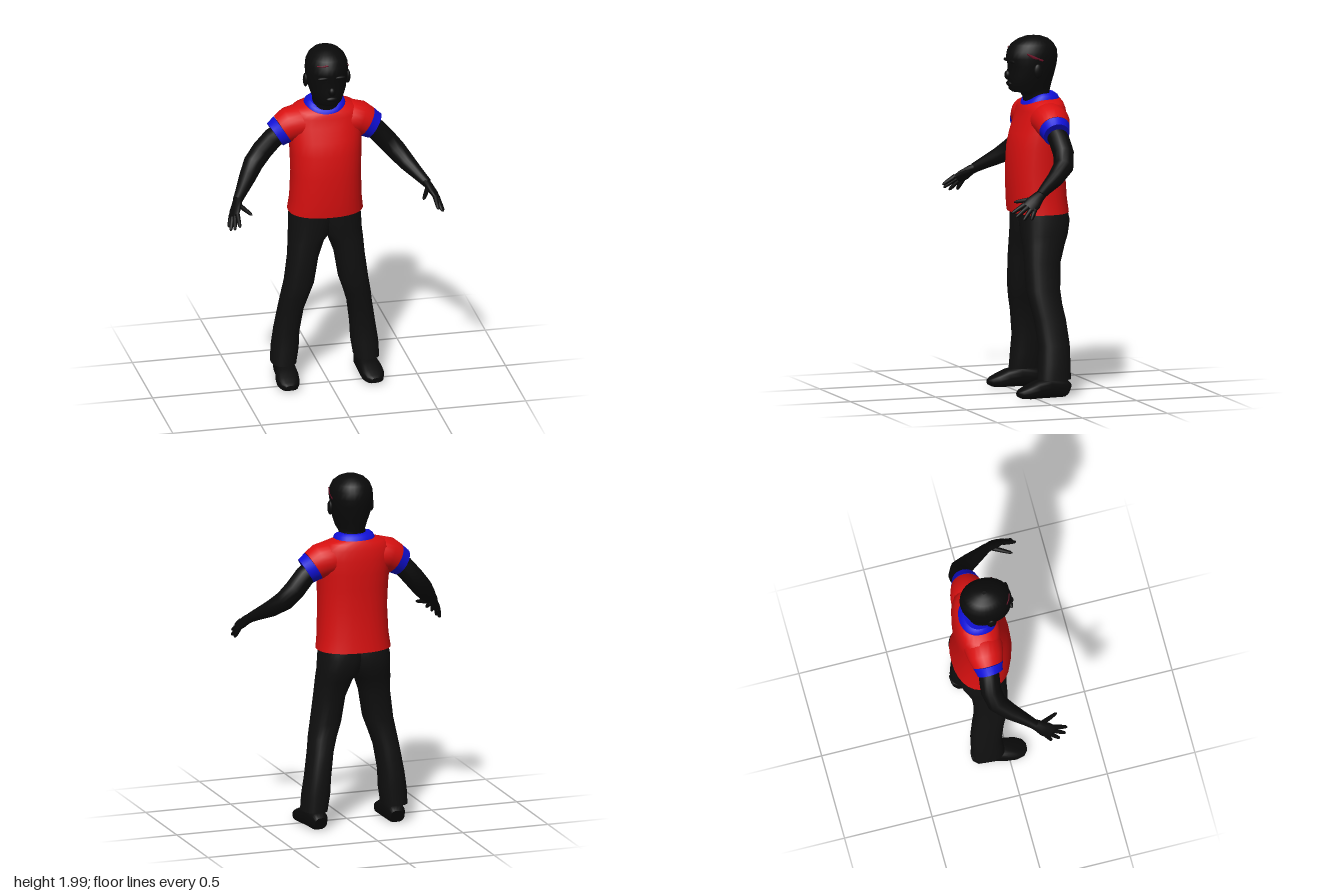
import * as THREE from 'three';

const mat = (name, color) => {
  const m = new THREE.MeshStandardMaterial({ color });
  m.name = name;
  return m;
};

// Skin over a list of closed rings, with flat caps at both ends
function skin(rings) {
  const pos = [], idx = [], n = rings[0].length;
  rings.forEach(r => r.forEach(p => pos.push(p.x, p.y, p.z)));
  for (let i = 0; i < rings.length - 1; i++) {
    for (let j = 0; j < n; j++) {
      const a = i * n + j, b = i * n + (j + 1) % n;
      idx.push(a, a + n, b, b, a + n, b + n);
    }
  }
  [rings[0], rings[rings.length - 1]].forEach((ring, end) => {
    const start = pos.length / 3;
    const mid = ring.reduce((s, p) => s.add(p), new THREE.Vector3()).divideScalar(n);
    [...ring, mid].forEach(p => pos.push(p.x, p.y, p.z));
    for (let j = 0; j < n; j++) {
      const a = start + j, b = start + (j + 1) % n;
      end ? idx.push(a, start + n, b) : idx.push(a, b, start + n);
    }
  });
  const g = new THREE.BufferGeometry();
  g.setAttribute('position', new THREE.Float32BufferAttribute(pos, 3));
  g.setIndex(idx);
  g.computeVertexNormals();
  return g;
}

// Unit rounded outline; a larger power gives squarer corners
function outline(count, power) {
  const bend = v => Math.sign(v) * Math.abs(v) ** (2 / power);
  return Array.from({ length: count }, (_, j) => {
    const t = j / count * Math.PI * 2;
    return [bend(Math.cos(t)), bend(Math.sin(t))];
  });
}

// Level rings from bottom to top: [y, x0, x1, z0, z1, frontDip]
function stack(rows, power = 2.2, count = 28) {
  return skin(rows.map(([y, x0, x1, z0, z1, dip = 0]) => outline(count, power).map(([u, v]) =>
    new THREE.Vector3((x0 + x1) / 2 + u * (x1 - x0) / 2, y - dip * Math.max(0, v) ** 2,
      (z0 + z1) / 2 + v * (z1 - z0) / 2))));
}
const centred = rows => rows.map(([y, rx, ...rest]) => [y, -rx, rx, ...rest]);

// Limb along a path of [x, y, z, radius along side, other radius]
function limb(path, side, s = 1, power = 2, count = 16) {
  const pts = path.map(p => new THREE.Vector3(p[0] * s, p[1], p[2]));
  const ref = new THREE.Vector3(side[0] * s, side[1], side[2]);
  return skin(pts.map((c, i) => {
    const dir = pts[Math.min(i + 1, pts.length - 1)].clone().sub(pts[Math.max(i - 1, 0)]).normalize();
    const a = ref.clone().addScaledVector(dir, -ref.dot(dir)).normalize();
    const b = a.clone().cross(dir);
    const [ra, rb = ra] = path[i].slice(3);
    return outline(count, power).map(([u, v]) =>
      c.clone().addScaledVector(a, u * ra).addScaledVector(b, v * rb));
  }));
}

export function createModel() {
  const model = new THREE.Group();
  const black = mat('black skin', 0x0a0a0a), cloth = mat('black trousers', 0x101010);
  const red = mat('red shirt', 0xd81010), blue = mat('blue trim', 0x1010d8);
  const crimson = mat('dark crimson', 0x660a22);
  const add = (name, geometry, material, parent = model) => {
    const m = new THREE.Mesh(geometry, material);
    m.name = name;
    parent.add(m);
    return m;
  };
  const blob = (name, pos, size, parent) => {
    const m = add(name, new THREE.SphereGeometry(1, 16, 12), black, parent);
    m.position.set(...pos);
    m.scale.set(...size);
  };

  // Head and neck
  const head = new THREE.Group();
  head.name = 'head';
  model.add(head);
  add('skullAndNeck', stack(centred([
    [1.58, 0.08, -0.17, -0.03], [1.66, 0.075, -0.165, -0.015], [1.685, 0.075, -0.165, 0.0],
    [1.692, 0.075, -0.167, 0.05], [1.705, 0.08, -0.17, 0.066], [1.74, 0.092, -0.178, 0.072],
    [1.78, 0.105, -0.19, 0.076], [1.84, 0.115, -0.205, 0.07], [1.88, 0.119, -0.21, 0.081],
    [1.92, 0.115, -0.207, 0.074], [1.955, 0.1, -0.188, 0.052], [1.98, 0.074, -0.16, 0.015],
    [1.995, 0.04, -0.122, -0.025], [2.0, 0.01, -0.085, -0.06]]), 2.05), black, head);
  blob('nose', [0, 1.785, 0.076], [0.02, 0.026, 0.018], head);
  blob('lips', [0, 1.738, 0.068], [0.032, 0.014, 0.013], head);
  for (const s of [1, -1]) {
    blob('ear', [s * 0.12, 1.815, -0.06], [0.014, 0.04, 0.026], head);
    blob('brow', [s * 0.045, 1.865, 0.066], [0.035, 0.01, 0.012], head);
  }
  // Thin crimson flecks on the hair
  add('sideFleck', limb([[0.106, 1.912, 0.0, 0.003, 0.004], [0.114, 1.892, -0.035, 0.004, 0.009],
    [0.1175, 1.872, -0.09, 0.003, 0.005]], [1, 0, 0], 1, 2, 8), crimson, head);
  add('frontFleck', limb([[-0.075, 1.93, 0.037, 0.003, 0.003], [-0.05, 1.933, 0.055, 0.003, 0.004],
    [-0.02, 1.94, 0.065, 0.003, 0.006]], [0, 0, 1], 1, 2, 8), crimson, head);

  // Shirt body and neckband
  const neckEdge = [1.652, 0.115, -0.217, -0.008, 0.036];
  add('shirt', stack(centred([
    [1.02, 0.21, -0.26, 0.06], [1.1, 0.2, -0.25, 0.068], [1.25, 0.195, -0.24, 0.072],
    [1.38, 0.199, -0.244, 0.064], [1.46, 0.204, -0.247, 0.045], [1.54, 0.21, -0.247, 0.015],
    [1.6, 0.205, -0.238, 0.002, 0.015], [1.635, 0.17, -0.228, -0.003, 0.03], neckEdge]), 2.3), red);
  add('neckband', stack(centred([neckEdge, [1.67, 0.108, -0.207, -0.015, 0.036],
    [1.683, 0.092, -0.188, -0.03, 0.042]]), 2.2), blue);

  const across = [0.35, -0.35, -0.87];
  for (const s of [1, -1]) {
    // Sleeve with its trim
    const cuffStart = [0.237, 1.507, -0.113, 0.086, 0.087];
    add('sleeve', limb([[0.08, 1.54, -0.115, 0.1, 0.09], [0.15, 1.543, -0.115, 0.108, 0.098],
      [0.195, 1.532, -0.115, 0.1, 0.097], cuffStart], [0, 0, 1], s, 2, 24), red);
    add('sleeveTrim', limb([cuffStart, [0.26, 1.492, -0.112, 0.078, 0.081],
      [0.281, 1.479, -0.11, 0.072, 0.077]], [0, 0, 1], s, 2, 24), blue);

    // Arm, hand and fingers
    const arm = new THREE.Group();
    arm.name = 'arm';
    model.add(arm);
    add('bareArm', limb([[0.22, 1.505, -0.11, 0.055], [0.29, 1.455, -0.12, 0.058],
      [0.35, 1.385, -0.125, 0.058], [0.405, 1.32, -0.105, 0.056], [0.455, 1.265, -0.04, 0.047],
      [0.505, 1.218, 0.035, 0.034], [0.537, 1.188, 0.08, 0.027]], [0, 0, 1], s), black, arm);
    add('palm', limb([[0.525, 1.198, 0.06, 0.026, 0.024], [0.543, 1.178, 0.095, 0.034, 0.022],
      [0.562, 1.15, 0.13, 0.044, 0.02], [0.578, 1.125, 0.162, 0.042, 0.014]], across, s), black, arm);
    const fingers = [
      ['indexFinger', [0.56, 1.145, 0.18], [0.562, 1.1, 0.255]],
      ['middleFinger', [0.57, 1.135, 0.162], [0.588, 1.08, 0.24]],
      ['ringFinger', [0.58, 1.125, 0.145], [0.603, 1.062, 0.202]],
      ['littleFinger', [0.585, 1.12, 0.128], [0.603, 1.062, 0.155]],
      ['thumb', [0.535, 1.172, 0.11], [0.486, 1.15, 0.215]]];
    for (const [name, from, to] of fingers) {
      const at = t => from.map((v, k) => v + (to[k] - v) * t);
      add(name, limb([[...at(0), 0.014], [...at(0.55), 0.012], [...at(0.9), 0.009], [...at(1), 0.003]],
        across, s, 2, 10), black, arm);
    }

    // Trouser leg
    const leg = [[0.11, 0.165, 0.305, -0.205, -0.02], [0.2, 0.15, 0.3, -0.205, -0.025],
      [0.3, 0.145, 0.285, -0.205, -0.03], [0.44, 0.125, 0.262, -0.19, -0.012],
      [0.52, 0.1, 0.25, -0.175, 0.005], [0.6, 0.072, 0.235, -0.17, 0.018],
      [0.75, 0.048, 0.215, -0.18, 0.022], [0.85, 0.012, 0.208, -0.212, 0.022],
      [0.9, -0.03, 0.203, -0.235, 0.025], [0.98, -0.05, 0.2, -0.25, 0.028],
      [1.06, -0.05, 0.185, -0.235, 0.03]];
    add('trouserLeg', stack(leg.map(([y, a, b, z0, z1]) =>
      s > 0 ? [y, a, b, z0, z1] : [y, -b, -a, z0, z1]), 2.4), cloth);

    // Shoe
    add('shoe', limb([[0.225, 0.05, -0.195, 0.035, 0.035], [0.227, 0.058, -0.175, 0.05, 0.05],
      [0.23, 0.065, -0.08, 0.056, 0.058], [0.236, 0.056, -0.01, 0.064, 0.049],
      [0.24, 0.043, 0.045, 0.063, 0.037], [0.242, 0.036, 0.085, 0.048, 0.026],
      [0.243, 0.035, 0.105, 0.022, 0.014]], [1, 0, 0], s, 2.8, 20), black);
  }
  return model;
}
